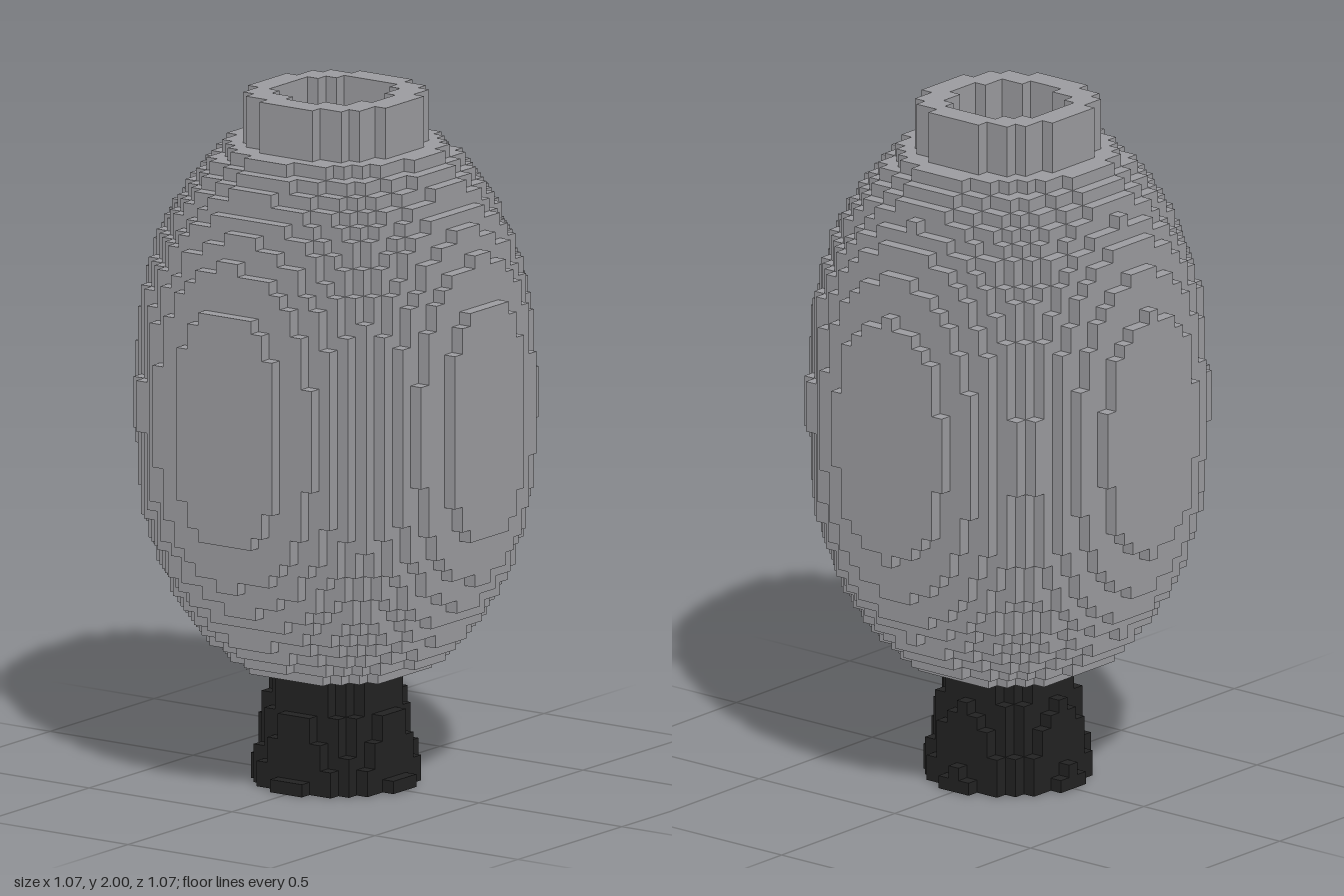
import * as THREE from 'three';

const V = 2 / 54;      // cell size
const OFF = 0.03;      // tiny centre shift that decides borderline cells
const HALF = 14;       // cells either side of the middle

const r2 = (i, k) => (i + OFF) ** 2 + (k + OFF) ** 2;

// Each part: a layer range and a rule saying which cells it fills
const parts = [
  {
    name: 'taperedNeck', mat: 'black', from: 0, to: 9,
    fills: (i, j, k) => r2(i, k) <= (6.3 - 0.2 * (j + 0.5)) ** 2,
  },
  {
    name: 'bulbBody', mat: 'grey', from: 9, to: 50,
    fills: (i, j, k) => {
      const d = Math.abs(j + 0.5 - 30);
      return r2(i, k) <= 221.5 - 25.7 * (d / 9.5) ** 2.48;
    },
  },
  {
    name: 'topCollar', mat: 'grey', from: 50, to: 54,
    fills: (i, j, k) => r2(i, k) <= 42 && r2(i, k) > 20,
  },
];

const solid = (i, j, k) =>
  parts.some((p) => j >= p.from && j < p.to && p.fills(i, j, k));

// Outward direction n and in-plane axes u, v with u x v = n
const sides = [];
for (let a = 0; a < 3; a++) {
  for (const s of [1, -1]) {
    const n = [0, 0, 0], u = [0, 0, 0], v = [0, 0, 0];
    n[a] = s;
    u[(a + 1) % 3] = s;
    v[(a + 2) % 3] = 1;
    sides.push({ n, u, v });
  }
}
const corners = [[-1, -1], [1, -1], [1, 1], [-1, 1]];

// Emit a square for every cell side that touches empty space
function blockGeometry(part) {
  const pos = [], nor = [], idx = [];
  for (let j = part.from; j < part.to; j++) {
    for (let i = -HALF; i <= HALF; i++) {
      for (let k = -HALF; k <= HALF; k++) {
        if (!part.fills(i, j, k)) continue;
        const c = [i, j + 0.5, k];
        for (const { n, u, v } of sides) {
          if (solid(i + n[0], j + n[1], k + n[2])) continue;
          const b = pos.length / 3;
          for (const [p, q] of corners) {
            for (let a = 0; a < 3; a++) {
              pos.push((c[a] + 0.5 * (n[a] + p * u[a] + q * v[a])) * V);
            }
            nor.push(...n);
          }
          idx.push(b, b + 1, b + 2, b, b + 2, b + 3);
        }
      }
    }
  }
  const g = new THREE.BufferGeometry();
  g.setAttribute('position', new THREE.Float32BufferAttribute(pos, 3));
  g.setAttribute('normal', new THREE.Float32BufferAttribute(nor, 3));
  g.setIndex(idx);
  return g;
}

export function createModel() {
  const group = new THREE.Group();
  group.name = 'blockBulb';
  const mats = {
    grey: new THREE.MeshStandardMaterial({ color: 0x9b9b9f }),
    black: new THREE.MeshStandardMaterial({ color: 0x222222 }),
  };
  for (const [name, m] of Object.entries(mats)) m.name = name;

  for (const part of parts) {
    const mesh = new THREE.Mesh(blockGeometry(part), mats[part.mat]);
    mesh.name = part.name;
    group.add(mesh);
  }
  return group;
}
